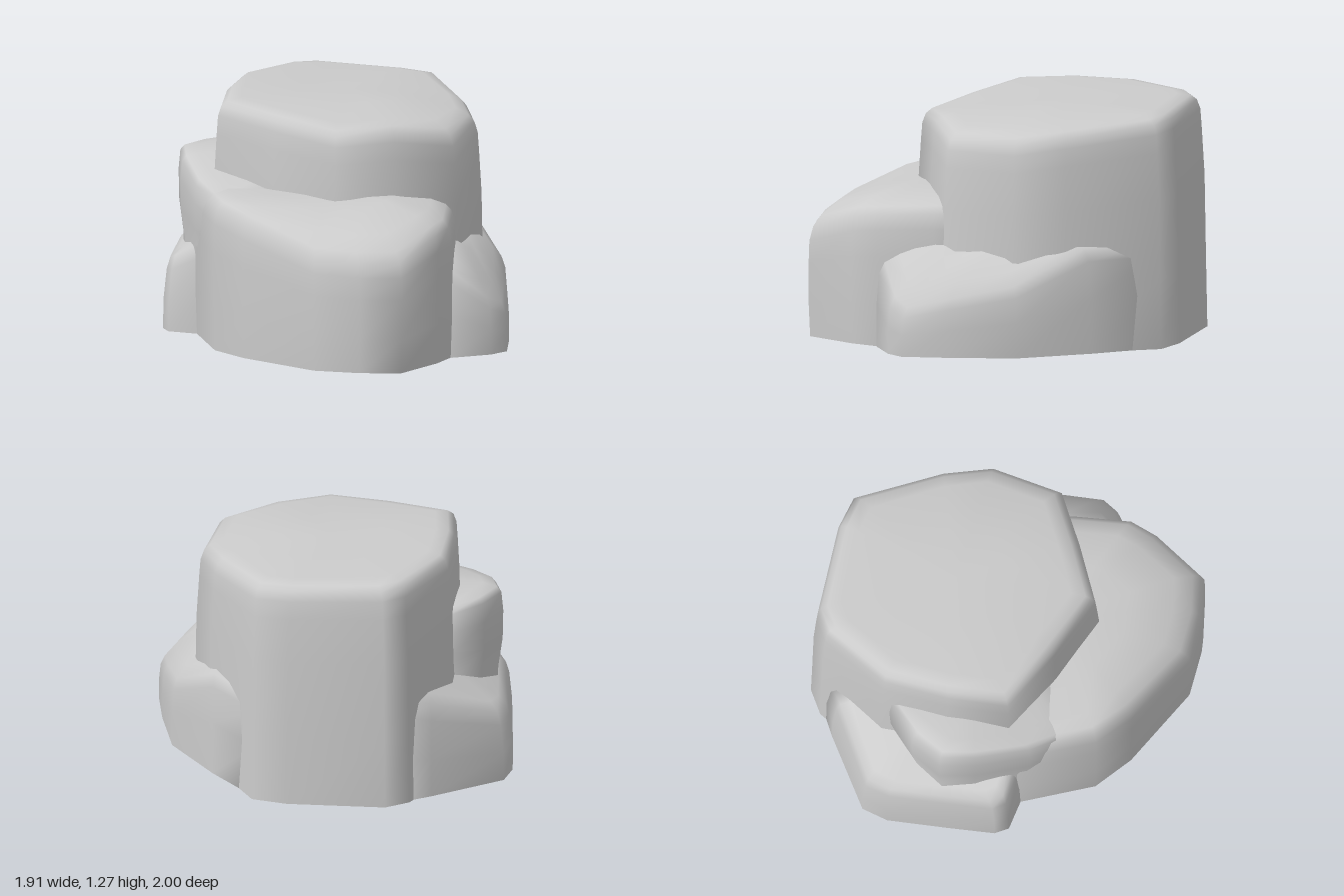
import * as THREE from 'three';

const material = new THREE.MeshStandardMaterial({ color: 0xcccccc, roughness: 0.9 });

// Lofts a plan outline [x, z] upward. Each level is [fraction of height, plan scale];
// height(x, z) gives the slanted top of the stone.
function stone(name, outline, [cx, cz], levels, height) {
  const plan = outline.map(([x, z]) => new THREE.Vector2(x, z));
  if (THREE.ShapeUtils.area(plan) > 0) plan.reverse();
  const n = plan.length, pos = [], index = [];
  for (const [f, s] of levels) {
    for (const p of plan) {
      const x = cx + (p.x - cx) * s, z = cz + (p.y - cz) * s;
      pos.push(x, f * height(x, z), z);
    }
  }
  for (let i = 0; i < levels.length - 1; i++) {
    for (let j = 0; j < n; j++) {
      const k = (j + 1) % n;
      const a = i * n + j, b = i * n + k, c = b + n, d = a + n;
      index.push(a, b, c, a, c, d);
    }
  }
  // Smooth cap on top
  const last = (levels.length - 1) * n, top = pos.length / 3;
  pos.push(cx, height(cx, cz), cz);
  for (let j = 0; j < n; j++) index.push(last + j, last + (j + 1) % n, top);
  // Flat underside with its own vertices, so the base edge stays sharp
  const base = pos.length / 3;
  for (let j = 0; j < n; j++) pos.push(pos[j * 3], 0, pos[j * 3 + 2]);
  pos.push(cx, 0, cz);
  for (let j = 0; j < n; j++) index.push(base + (j + 1) % n, base + j, base + n);

  const geometry = new THREE.BufferGeometry();
  geometry.setAttribute('position', new THREE.Float32BufferAttribute(pos, 3));
  geometry.setIndex(index);
  geometry.computeVertexNormals();
  const mesh = new THREE.Mesh(geometry, material);
  mesh.name = name;
  return mesh;
}

const over = (v, limit) => Math.max(0, v - limit);

export function createModel() {
  const rock = new THREE.Group();
  rock.name = 'rock';

  // Tall block with a gently tilted top
  rock.add(stone('mainBlock',
    [[-0.3, -0.97], [0.2, -0.95], [0.38, -0.9], [0.62, -0.46], [0.71, -0.2], [0.64, 0.18],
      [0.35, 0.33], [0.05, 0.47], [-0.3, 0.31], [-0.64, 0.12], [-0.66, -0.2], [-0.63, -0.55], [-0.42, -0.9]],
    [0, -0.28],
    [[0, 1.04], [0.3, 1.03], [0.65, 1.02], [0.85, 1], [0.93, 0.99], [0.97, 0.965], [0.99, 0.92], [1, 0.82], [1, 0.4]],
    (x, z) => 1.27 - 0.04 * (x + 0.6) - 0.12 * over(z, -0.3) ** 2 - 0.5 * over(x, 0.3) ** 2));

  // Rounded shelf stepping down toward the front
  rock.add(stone('frontLedge',
    [[0.6, -0.1], [0.66, 0.25], [0.69, 0.55], [0.64, 0.7], [0.49, 0.97], [0.27, 1], [0.02, 0.98],
      [-0.4, 0.74], [-0.58, 0.58], [-0.74, 0.2], [-0.7, -0.2], [0, -0.4]],
    [0, 0.25],
    [[0, 0.99], [0.3, 1], [0.65, 1], [0.84, 0.995], [0.94, 0.97], [0.98, 0.92], [1, 0.8], [1, 0.5]],
    (x, z) => 0.82 - 0.7 * over(z, 0.45) ** 2 - 0.25 * over(x, 0.4)));

  // Shoulder beside the main block
  rock.add(stone('rightShoulder',
    [[-0.6, -0.55], [-0.8, -0.36], [-0.89, -0.2], [-0.85, -0.02], [-0.73, 0.25], [-0.58, 0.46], [-0.3, 0.3], [-0.3, -0.3]],
    [-0.55, -0.08],
    [[0, 0.93], [0.5, 0.94], [0.68, 1.01], [0.85, 1.02], [0.96, 0.99], [0.99, 0.92], [1, 0.7]],
    (x, z) => 0.94 - 0.28 * over(z, -0.1)));

  // Low foot on the same side
  rock.add(stone('rightFoot',
    [[-0.4, -0.92], [-0.55, -0.84], [-0.92, -0.61], [-0.96, -0.47], [-0.945, -0.15], [-0.93, 0.1],
      [-0.89, 0.17], [-0.7, 0.21], [-0.4, 0.2]],
    [-0.5, -0.3],
    [[0, 1], [0.4, 0.995], [0.8, 0.96], [0.95, 0.92], [1, 0.83], [1, 0.5]],
    (x, z) => 0.4 + 0.6 * over(x, -0.9) - 0.3 * over(-z, 0.55)));

  // Sloping wedge on the opposite side
  rock.add(stone('leftWedge',
    [[0.38, -0.9], [0.62, -0.6], [0.85, -0.25], [0.92, 0.1], [0.95, 0.35], [0.88, 0.44], [0.69, 0.55], [0.3, 0.5], [0.3, -0.5]],
    [0.5, 0],
    [[0, 1], [0.5, 1], [0.85, 0.98], [0.96, 0.93], [1, 0.8], [1, 0.5]],
    (x, z) => Math.min(0.58, 0.28 + 1.1 * (0.93 - x)) - 0.3 * over(z, 0.25)));

  return rock;
}
